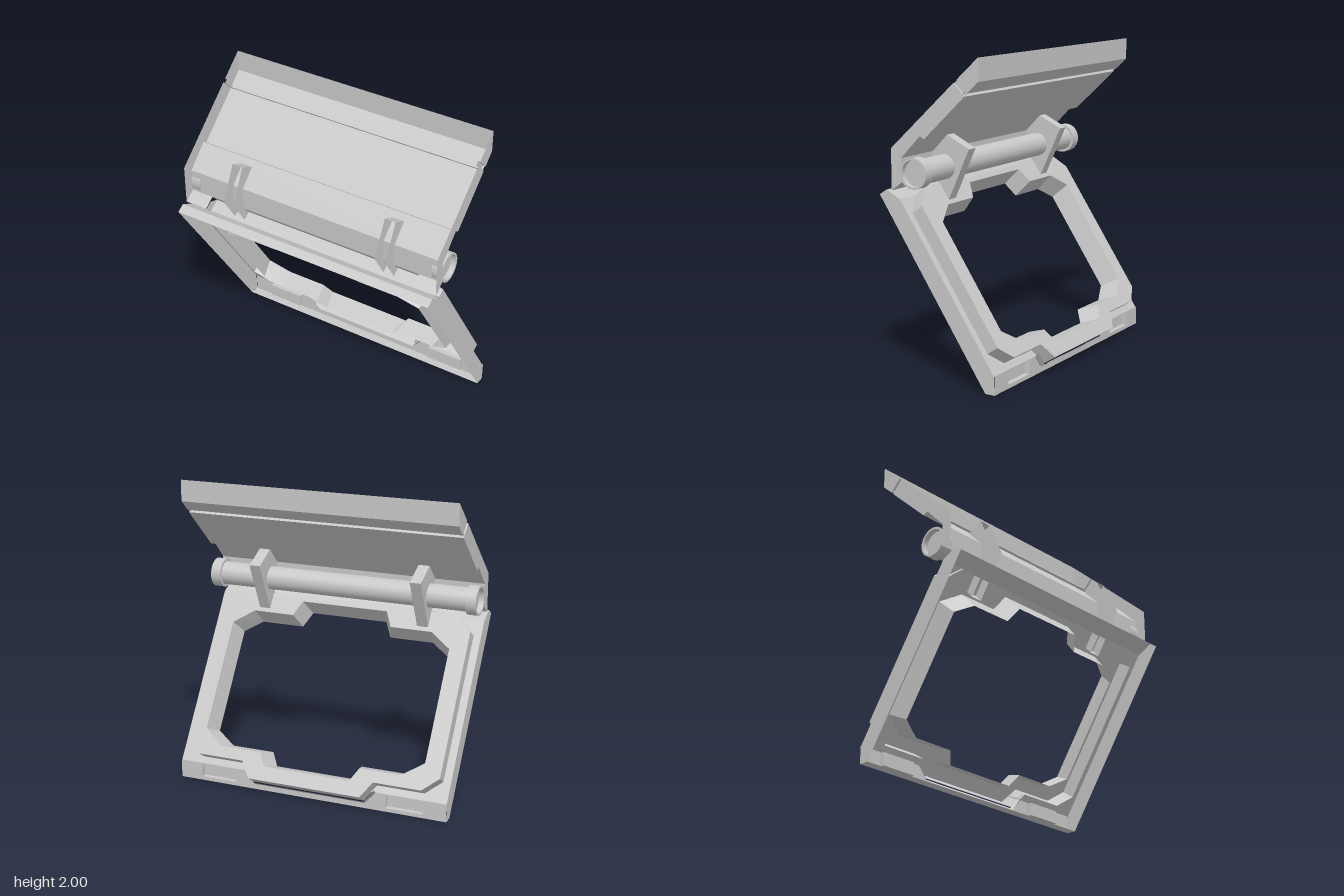
import * as THREE from 'three';

const grey = new THREE.MeshStandardMaterial({ color: 0xc8c8c8, side: THREE.DoubleSide });
grey.name = 'grey metal';

function add(parent, name, geo) {
  const mesh = new THREE.Mesh(geo, grey);
  mesh.name = name;
  parent.add(mesh);
  return mesh;
}

// Flat-shaded strip joining two matching rows of 3D points
function strip(a, b, closed = false) {
  const pos = [];
  const n = closed ? a.length : a.length - 1;
  for (let i = 0; i < n; i++) {
    const j = (i + 1) % a.length;
    pos.push(...a[i], ...b[i], ...b[j], ...a[i], ...b[j], ...a[j]);
  }
  const geo = new THREE.BufferGeometry();
  geo.setAttribute('position', new THREE.Float32BufferAttribute(pos, 3));
  geo.computeVertexNormals();
  return geo;
}

// Sheet with a [z, y] profile, spanning x0..x1
const sheet = (profile, x0, x1) =>
  strip(profile.map(([z, y]) => [x0, y, z]), profile.map(([z, y]) => [x1, y, z]));

// Flat polygon in x/y with optional holes
function face(points, holes = []) {
  const shape = new THREE.Shape(points.map(p => new THREE.Vector2(...p)));
  for (const h of holes) shape.holes.push(new THREE.Path(h.map(p => new THREE.Vector2(...p))));
  return new THREE.ShapeGeometry(shape);
}

// Flat [z, y] polygon standing at one x
const sideFace = (points, x) => face(points).rotateY(-Math.PI / 2).scale(1, 1, 1).translate(x, 0, 0);

const mirror = half => [...half, ...half.slice().reverse().map(([x, y]) => [-x, y])];
const at = (loop, z) => loop.map(([x, y]) => [x, y, z]);

const W = 0.935;

// Upper panel: folded back sheet with end plates, open at the front
function buildPanel() {
  const g = new THREE.Group();
  g.name = 'upperPanel';
  add(g, 'panelSheet', sheet([
    [-0.255, 2], [-0.255, 1.86], [-0.18, 1.79], [-0.168, 1.802], [-0.149, 1.783],
    [-0.16, 1.77], [-0.146, 1.756], [0.128, 1.5], [0.158, 1.517],
    [0.297, 1.375], [0.297, 1.225]], -W, W));
  add(g, 'lowerLip', sheet([[0.297, 1.225], [0.247, 1.172]], -0.775, 0.775));
  const upperEnd = [[-0.255, 2], [-0.255, 1.86], [-0.18, 1.79], [-0.105, 1.864]];
  const groove = [[-0.105, 1.864], [-0.18, 1.79], [-0.16, 1.77], [-0.085, 1.846]];
  const lowerEnd = [[-0.085, 1.846], [-0.16, 1.77], [-0.146, 1.756], [0.128, 1.5], [0.158, 1.517],
    [0.297, 1.375], [0.297, 1.225], [0.37, 1.172], [0.37, 1.43]];
  for (const s of [-1, 1]) {
    add(g, 'upperEndPlate', sideFace(upperEnd, s * W));
    add(g, 'endGroove', sideFace(groove, s * (W - 0.014)));
    add(g, 'grooveWall', sheet([groove[0], groove[1]], s * (W - 0.014), s * W));
    add(g, 'grooveWall', sheet([groove[2], groove[3]], s * (W - 0.014), s * W));
    add(g, 'lowerEndPlate', sideFace(lowerEnd, s * W));
    add(g, 'cornerTab', sheet([[0.297, 1.225], [0.37, 1.172]], s * 0.775, s * W));
  }
  return g;
}

// Hinge: tube with cupped ends and two brackets
function buildHinge() {
  const g = new THREE.Group();
  g.name = 'hinge';
  const y = 1.285, z = 0.212;
  const lathe = pts => new THREE.LatheGeometry(pts.map(p => new THREE.Vector2(...p)), 32)
    .rotateZ(-Math.PI / 2).translate(0, y, z);
  add(g, 'hingeTube', new THREE.CylinderGeometry(0.078, 0.078, 1.76, 32, 1, true)
    .rotateZ(Math.PI / 2).translate(0, y, z));
  for (const s of [-1, 1]) {
    const ring = [[0.078, 0.865], [0.096, 0.865], [0.096, W], [0.082, W], [0.082, 0.9], [0, 0.9]];
    // separate lathes keep the ring edges sharp
    for (let i = 0; i < ring.length - 1; i++) {
      add(g, 'tubeEndRing', lathe([ring[i], ring[i + 1]].map(([r, x]) => [r, s * x])));
    }
    const path = [[0.293, 1.535], [0.03, 1.405], [0.18, 1.08], [0.225, 1.03]];
    add(g, 'bracketBack', sheet(path, s * 0.525, s * 0.6));
    for (const x of [0.525, 0.6]) add(g, 'bracketSide', sideFace([...path, [0.4, 1.3]], s * x));
  }
  return g;
}

// Leaning frame, built flat: y runs along the slope, -z is its depth
function buildFrame() {
  const g = new THREE.Group();
  g.name = 'leaningFrame';
  g.position.set(0, 1.14, 0.46);
  g.rotation.x = Math.atan2(0.552, 0.834);

  const outer = mirror([[0.78, -0.095], [0.885, -0.2], [0.885, -1.165], [0.78, -1.256],
    [0.46, -1.256], [0.39, -1.364]]);
  const opening = d => mirror([
    [0.265 + d, -0.166 + d], [0.315 + d, -0.268 + d], [0.61 + d * 0.6, -0.268 + d],
    [0.735 + d, -0.352 + d * 0.6], [0.735 + d, -1.06 - d * 0.6], [0.61 + d * 0.6, -1.145 - d],
    [0.315 + d, -1.145 - d], [0.265 + d, -1.234 - d]]);
  const front = opening(0), back = opening(0.035);
  add(g, 'raisedPlateWall', strip(at(outer, -0.1), at(outer, -0.2), true));
  add(g, 'raisedPlate', face(outer, [back]).translate(0, 0, -0.2));
  add(g, 'openingBevel', strip(at(front, -0.07), at(back, -0.2), true));

  // Slab around the raised plate
  const hole = mirror([[0.78, -0.1], [0.885, -0.2], [0.885, -1.165], [0.78, -1.256],
    [0.46, -1.256], [0.425, -1.3]]);
  add(g, 'slabBack', face([[-W, -0.095], [W, -0.095], [W, -1.304], [-W, -1.304]], [hole])
    .translate(0, 0, -0.115));
  add(g, 'topRail', sheet([[0, 0], [-0.06, 0], [-0.112, -0.095]], -W, W));
  for (const s of [-1, 1]) {
    add(g, 'sideRail', sideFace([[0, 0], [-0.06, 0], [-0.115, -0.095], [-0.115, -1.304],
      [-0.055, -1.401], [0, -1.367]], s * W));
  }
  return g;
}

// Foot of the frame: upright back face with two recesses, and the flat base
function buildFoot() {
  const g = new THREE.Group();
  g.name = 'foot';
  const z = -0.36, d = 0.035;
  const recess = s => [[s * 0.53, 0.025], [s * 0.78, 0.025], [s * 0.78, 0.11], [s * 0.53, 0.11]];
  add(g, 'footBack', face([[-W, 0], [W, 0], [W, 0.12], [0.46, 0.12], [0.39, 0.035],
    [-0.39, 0.035], [-0.46, 0.12], [-W, 0.12]], [recess(-1), recess(1)]).translate(0, 0, z));
  for (const s of [-1, 1]) {
    add(g, 'recessFloor', face(recess(s)).translate(0, 0, z + d));
    add(g, 'recessWall', strip(at(recess(s), z), at(recess(s), z + d), true));
  }
  add(g, 'footBase', sheet([[-0.295, 0], [z, 0]], -W, W));
  // Sloping skirt below the raised plate
  const lip = [[-0.46, 0.125], [-0.39, 0.035], [0.39, 0.035], [0.46, 0.125]];
  add(g, 'footSkirt', strip(at(lip, z), lip.map(([x, y]) => [x, y + 0.018, z - 0.025])));
  return g;
}

export function createModel() {
  const model = new THREE.Group();
  model.name = 'hingedFrame';
  // sideFace maps shape x to +z
  model.add(buildPanel(), buildHinge(), buildFrame(), buildFoot());
  return model;
}
